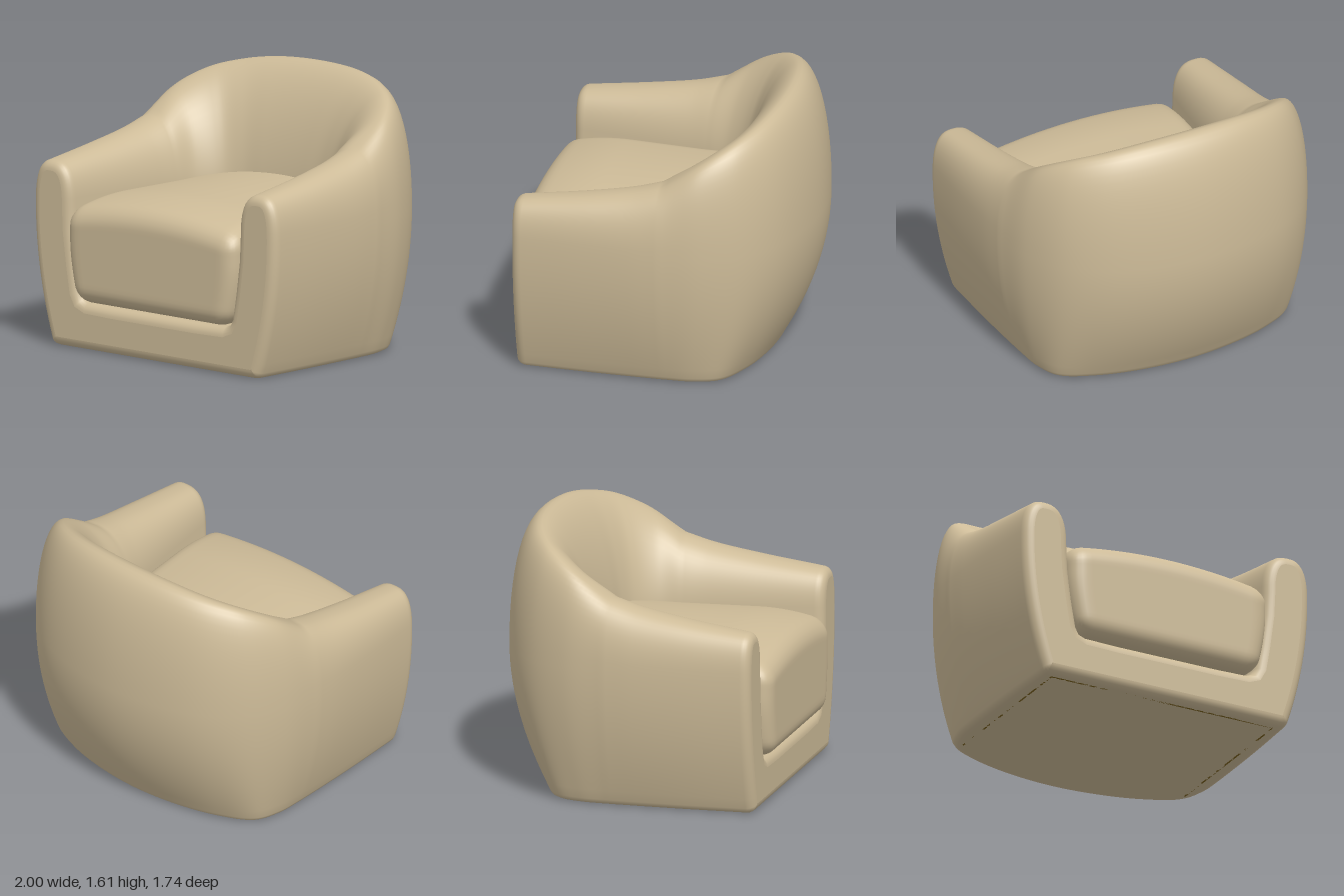
import * as THREE from 'three';
import { mergeVertices } from 'three/addons/utils/BufferGeometryUtils.js';

const V = (x, y, z) => new THREE.Vector3(x, y, z);
const BELT = 0.85; // height where the shell is widest

// Stations from arm front to back centre:
// outer x,z | crest x,y,z | inner x,z | foot x,z | roundness inner, outer
const ARM = [
  [0.965, 0.76, 0.825, 1.115, 0.76, 0.665, 0.76, 0.83, 0.76, 2.6, 2.6],
  [0.99, 0.4, 0.815, 1.165, 0.4, 0.62, 0.4, 0.845, 0.4, 2.4, 2.5],
  [1.0, 0.1, 0.80, 1.22, 0.1, 0.575, 0.1, 0.85, 0.1, 2.2, 2.4],
  [0.995, -0.08, 0.80, 1.27, -0.08, 0.55, -0.02, 0.85, -0.08, 2.1, 2.4],
];
const BACK = [
  ARM[3],
  [0.95, -0.33, 0.81, 1.41, -0.29, 0.51, -0.15, 0.84, -0.26, 1.8, 2.2],
  [0.83, -0.56, 0.70, 1.51, -0.46, 0.42, -0.26, 0.78, -0.42, 1.7, 2.1],
  [0.64, -0.72, 0.53, 1.565, -0.57, 0.30, -0.31, 0.58, -0.53, 1.7, 2.1],
  [0.37, -0.825, 0.31, 1.6, -0.635, 0.16, -0.325, 0.32, -0.6, 1.7, 2.1],
  [0, -0.873, 0, 1.612, -0.66, 0, -0.33, 0, -0.63, 1.7, 2.1],
];
const mirrorKey = (k) => k.map((v, i) => ([0, 2, 5, 7].includes(i) ? -v : v));

function stations(keys, count) {
  const pick = (f) => new THREE.CatmullRomCurve3(keys.map(f));
  const curves = [
    pick((k) => V(k[0], 0, k[1])), pick((k) => V(k[2], k[3], k[4])),
    pick((k) => V(k[5], 0, k[6])), pick((k) => V(k[7], 0, k[8])),
    pick((k) => V(k[9], k[10], 0)),
  ];
  return Array.from({ length: count + 1 }, (_, i) => section(...curves.map((c) => c.getPoint(i / count))));
}

// Cross-section: seat floor, inner wall, crest, outer wall, underside
function section(O, C, I, B, E) {
  const pts = [], zc = Math.max(B.z, 0), h = C.y - BELT;
  const mix = (a, b, t, y) => pts.push(V(a.x + (b.x - a.x) * t, y, a.z + (b.z - a.z) * t));
  const axis = V(0, 0, zc);
  [[0, 0.28], [0.5, 0.28], [0.82, 0.285], [0.88, 0.3], [0.91, 0.34], [0.95, 0.5], [0.99, 0.7]]
    .forEach(([t, y]) => mix(axis, I, t, y));
  const N = 14;
  const arc = (P, n, s) => {
    const a = (s / N) * Math.PI / 2;
    const c = Math.max(Math.cos(a), 0) ** (2 / n);
    mix(C, P, c, BELT + h * Math.sin(a) ** (2 / n));
  };
  for (let s = 0; s <= N; s++) arc(I, E.x, s);
  for (let s = N - 1; s >= 0; s--) arc(O, E.y, s);
  for (let s = 1; s <= N; s++) {
    const y = BELT - (BELT - 0.035) * s / N;
    mix(O, B, (s / N) ** 2, y);
  }
  [[0.985, 0.014], [0.96, 0.003], [0.92, 0], [0.5, 0], [0, 0]].forEach(([t, y]) => mix(axis, B, t, y));
  return pts;
}

// Pull a front section into its own material by d and place it at z
function insetRing(ring, d, z) {
  return ring.map((p, i) => {
    const a = ring[Math.max(i - 1, 0)], b = ring[Math.min(i + 1, ring.length - 1)];
    const dx = b.x - a.x, dy = b.y - a.y, l = Math.hypot(dx, dy) || 1;
    const end = i === 0 || i === ring.length - 1;
    return V(end ? 0 : p.x + d * dy / l, p.y - d * dx / l, z);
  });
}

function loft(rows) {
  const n = rows[0].length, idx = [];
  for (let i = 0; i < rows.length - 1; i++) {
    for (let j = 0; j < n - 1; j++) {
      const a = i * n + j, b = a + n;
      idx.push(a, a + 1, b, a + 1, b + 1, b);
    }
  }
  const g = new THREE.BufferGeometry().setFromPoints(rows.flat());
  g.setIndex(idx);
  const m = mergeVertices(g, 1e-4);
  m.computeVertexNormals();
  return m;
}

// Puffed seat cushion: a rounded box with crown, front roll and taper
function cushionGeometry() {
  const half = V(0.67, 0.31, 0.66), r = 0.1;
  let g = new THREE.BoxGeometry(half.x * 2, half.y * 2, half.z * 2, 40, 24, 40);
  g.deleteAttribute('uv');
  g.deleteAttribute('normal');
  g = mergeVertices(g);
  const pos = g.attributes.position, p = V(), core = V();
  const lim = half.clone().subScalar(r), low = lim.clone().negate();
  for (let i = 0; i < pos.count; i++) {
    p.fromBufferAttribute(pos, i);
    core.copy(p).clamp(low, lim);
    p.sub(core);
    if (p.lengthSq() > 0) p.setLength(r);
    p.add(core);
    let { x, y, z } = p;
    y += 0.6;
    z += 0.21;
    const up = THREE.MathUtils.smoothstep(y, 0.45, 0.9);
    const roll = Math.max(0, (z - 0.45) / 0.42);
    const u = Math.abs(x) / 0.67;
    x *= 1 - 0.1 * (Math.max(0, 0.72 - y) / 0.42) ** 2;
    x *= 1 - 0.11 * THREE.MathUtils.clamp((0.8 - z) / 0.8, 0, 1);
    y += up * (0.055 - 0.065 * u * u - 0.07 * roll * roll);
    pos.setXYZ(i, x, y, z);
  }
  g.computeVertexNormals();
  return g;
}

export function createModel() {
  const group = new THREE.Group();
  const fabric = new THREE.MeshStandardMaterial({ color: 0xcdbb98 });
  fabric.name = 'beigeFabric';
  const trim = new THREE.MeshStandardMaterial({ color: 0x7d6420 });
  trim.name = 'oliveTrim';
  const add = (name, geo, mat) => {
    const m = new THREE.Mesh(geo, mat);
    m.name = name;
    group.add(m);
    return m;
  };

  // Shell: left arm, wrapped back, right arm
  const flip = (row) => row.map((p) => V(-p.x, p.y, p.z));
  const arm = stations(ARM, 24);
  const back = stations([...BACK, ...BACK.slice(0, -1).reverse().map(mirrorKey)], 80);
  const R = 0.06, edge = [];
  for (let s = 6; s >= 1; s--) {
    const a = (s / 6) * Math.PI / 2;
    edge.push(insetRing(arm[0], R * (1 - Math.cos(a)), 0.76 + R * Math.sin(a)));
  }
  const side = [...edge, ...arm];
  add('armsAndBack', loft([...side, ...back.slice(1, -1), ...side.map(flip).reverse()]), fabric);

  // Flat front of the arms and base
  const rim = edge[0];
  const outline = [...rim, ...flip(rim).reverse().slice(1, -1)];
  const front = new THREE.ShapeGeometry(new THREE.Shape(outline.map((p) => new THREE.Vector2(p.x, p.y))));
  front.translate(0, 0, 0.82);
  add('frontPanel', front, fabric);

  add('seatCushion', cushionGeometry(), fabric);

  // Thin trim under the base along the front and both sides
  const strip = (name, w, d, x, z) =>
    add(name, new THREE.BoxGeometry(w, 0.004, d), trim).position.set(x, 0.002, z);
  strip('frontTrim', 1.5, 0.014, 0, 0.745);
  for (const s of [1, -1]) strip(s > 0 ? 'leftTrim' : 'rightTrim', 0.012, 1.1, s * 0.75, 0.2);

  return group;
}
